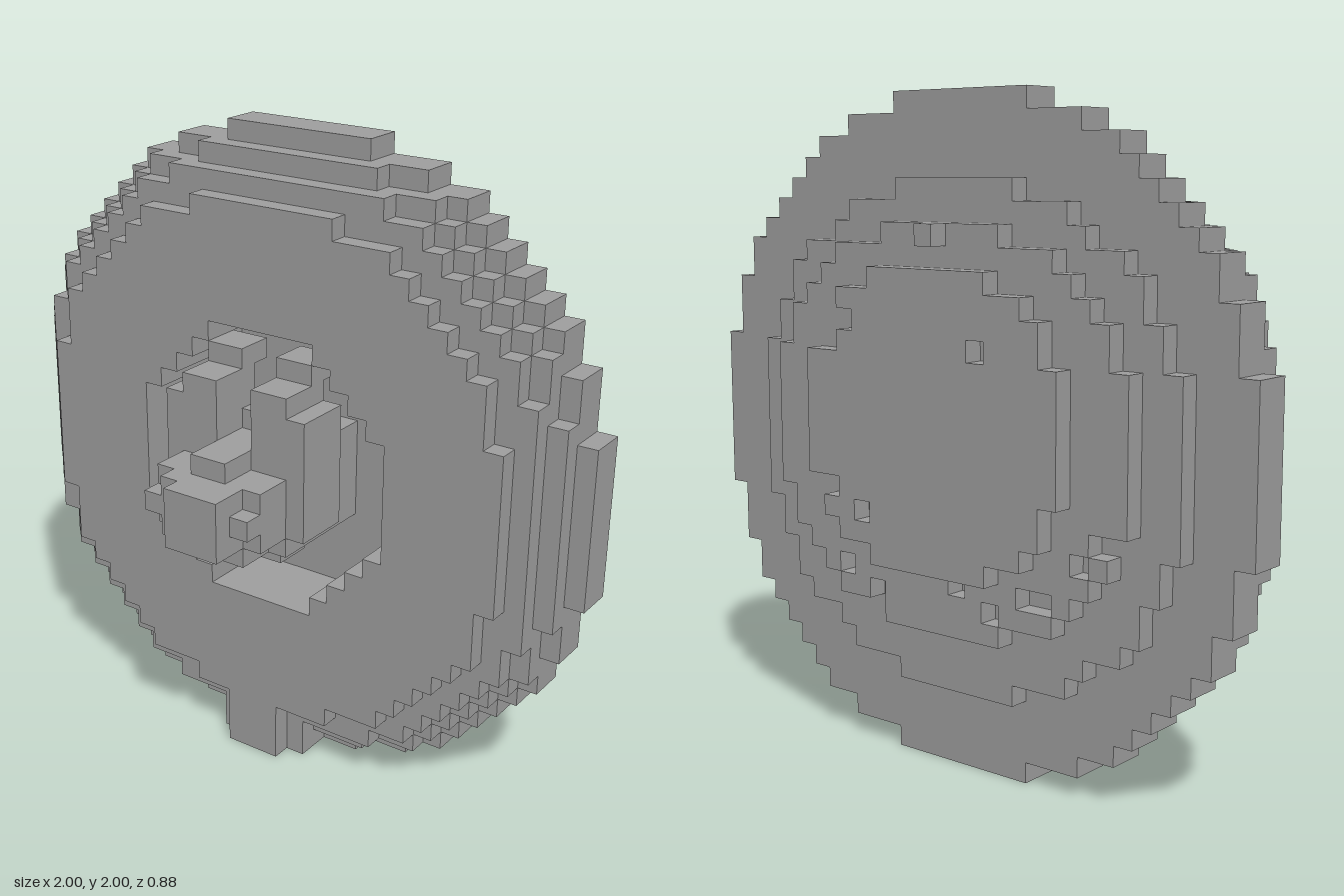
import * as THREE from 'three';

const U = 1 / 16; // edge of one cube

// True when the cell centre lies inside a rounded outline
const round = (i, j, rx, ry = rx, cx = 0, cy = 0, p = 2) =>
  Math.abs((i + 0.5 - cx) / rx) ** p + Math.abs((j + 0.5 - cy) / ry) ** p <= 1;
const box = (i, j, k, [x0, x1, y0, y1, z0, z1]) =>
  i >= x0 && i <= x1 && j >= y0 && j <= y1 && k >= z0 && k <= z1;

// Disc radius and clipping for each layer, front to back
const discs = { '0': [13.25, 13], '-1': [14.6, 14], '-2': [15.5, 15], '-3': [16, 16], '-4': [16, 16] };

// Stepped plates on the back: rx, ry, cx, cy, power
const plates = {
  '-5': [12.5, 12, -0.5, 0, 2.1],
  '-6': [10.5, 9.5, -0.5, 0.5, 2.2],
  '-7': [7.5, 7, -0.5, 1, 2.6],
};

// Small pits in the back plates: column, row, layer
const pits = [
  [5, 5, -7], [5, 4, -7], [4, 5, -7], [-4, 4, -7], [5, -3, -7], [3, -4, -7],
  [5, -7, -6], [3, -8, -6], [-2, -7, -6], [-4, -8, -6], [-6, -7, -6], [-7, -7, -6],
  [-9, -5, -6], [-10, -4, -6],
];

// Blocks of the creature head in the recess
const headBlocks = [
  [-3, 2, -3, 1, -3, 0],                            // neck
  [-4, 3, -2, 1, 0, 2], [-3, 2, -3, -3, 0, 2],      // skull and jaw
  [-2, 1, -4, -4, 0, 1],                            // chin
  [-4, -3, 2, 3, 0, 2], [2, 3, 2, 3, 0, 2],         // cheeks
  [-3, -2, 2, 4, 0, 2], [1, 2, 2, 4, 0, 2],         // ears
  [-3, -2, 5, 5, -1, 0], [1, 2, 5, 5, -1, 0],       // ear tips
  [-1, 0, 2, 2, -2, 0],                             // brow
  [-3, 2, -2, 0, 3, 4], [-2, 1, -3, -3, 3, 4],      // muzzle
  [-1, 0, 1, 1, 3, 4], [-3, 2, -1, -1, 5, 5], [-2, 1, -2, 0, 5, 5],
  [-1, 1, -2, 0, 6, 6],                             // nose
];

// Name of the part that fills a cell, or null
function partAt(i, j, k) {
  if (headBlocks.some((b) => box(i, j, k, b))) return 'head';
  if (box(i, j, k, [-2, 0, -16, -13, 0, 0]) || box(i, j, k, [-3, 1, -16, -13, -2, -1])) return 'foot';
  if (discs[k]) {
    const [r, clip] = discs[k];
    const edge = Math.max(Math.abs(i + 0.5), Math.abs(j + 0.5));
    const recess = k >= -3 && round(i, j, 7.05);
    return edge < clip && round(i, j, r) && !recess ? 'disc' : null;
  }
  if (plates[k]) {
    if (pits.some(([a, b, c]) => a === i && b === j && c === k)) return null;
    if (k === -7 && i === -1 && j === 9) return 'backStud';
    return round(i, j, ...plates[k]) ? 'backPlates' : null;
  }
  return null;
}

const sides = [];
for (let axis = 0; axis < 3; axis++) for (const s of [1, -1]) sides.push([axis, s]);

// Add one square face of a cell, wound to face outward
function addFace(out, cell, axis, s) {
  const u = (axis + 1) % 3, v = (axis + 2) % 3;
  const corner = (a, b) => {
    const p = [...cell];
    if (s > 0) p[axis] += 1;
    p[u] += a;
    p[v] += b;
    return [p[0] * U, 1 + p[1] * U, p[2] * U];
  };
  const q = [corner(0, 0), corner(1, 0), corner(1, 1), corner(0, 1)];
  if (s < 0) q.reverse();
  for (const n of [0, 1, 2, 0, 2, 3]) out.push(...q[n]);
}

export function createModel() {
  const model = new THREE.Group();
  const grey = new THREE.MeshStandardMaterial({ color: 0xa0a0a0 });
  grey.name = 'stone grey';

  // Collect only the exposed faces of each part
  const faces = {};
  for (let i = -16; i < 16; i++) for (let j = -16; j < 16; j++) for (let k = -7; k < 7; k++) {
    const part = partAt(i, j, k);
    if (!part) continue;
    const out = (faces[part] ??= []);
    for (const [axis, s] of sides) {
      const next = [i, j, k];
      next[axis] += s;
      if (!partAt(...next)) addFace(out, [i, j, k], axis, s);
    }
  }

  for (const [name, points] of Object.entries(faces)) {
    const geometry = new THREE.BufferGeometry();
    geometry.setAttribute('position', new THREE.Float32BufferAttribute(points, 3));
    geometry.computeVertexNormals();
    const mesh = new THREE.Mesh(geometry, grey);
    mesh.name = name;
    model.add(mesh);
  }
  return model;
}
